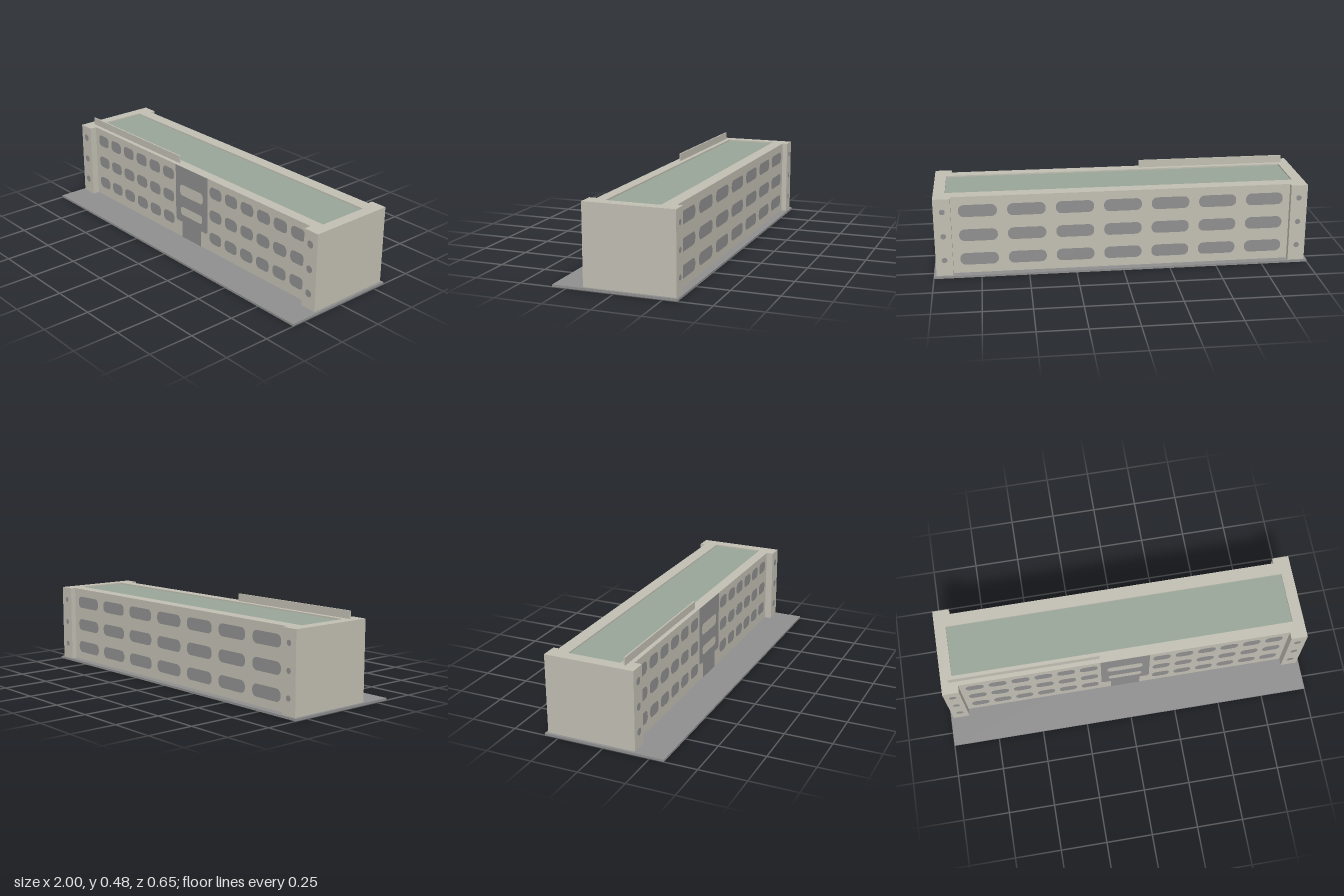
import * as THREE from 'three';

function material(name, color) {
  const m = new THREE.MeshStandardMaterial({ color });
  m.name = name;
  return m;
}

// Rounded rectangle outline, usable as a shape or as a hole
function roundedRect(path, cx, cy, w, h, r) {
  const x = w / 2 - r, y = h / 2 - r;
  path.absarc(cx + x, cy + y, r, 0, Math.PI / 2);
  path.absarc(cx - x, cy + y, r, Math.PI / 2, Math.PI);
  path.absarc(cx - x, cy - y, r, Math.PI, Math.PI * 1.5);
  path.absarc(cx + x, cy - y, r, Math.PI * 1.5, Math.PI * 2);
  path.closePath();
  return path;
}

export function createModel() {
  const model = new THREE.Group();
  const wall = material('warm stone', 0xc1beb2);
  const grey = material('grey', 0x8e8e8e);
  const green = material('roof green', 0x98a597);

  const add = (name, geometry, mat, x = 0, y = 0, z = 0, parent = model) => {
    const mesh = new THREE.Mesh(geometry, mat);
    mesh.name = name;
    mesh.position.set(x, y, z);
    parent.add(mesh);
    return mesh;
  };

  const baseTop = 0.012, roofTop = 0.435;
  const front = 0.128, back = -0.285;        // long walls
  const wingFront = 0.167, wingBack = -0.314; // end wings
  const inner = 0.897, outer = 0.986;
  const lift = 0.0015;

  // Ground slab
  add('baseSlab', new THREE.BoxGeometry(2, baseTop, 0.652), grey, 0, baseTop / 2, 0);

  // Main block with projecting end wings, open in the middle of the roof
  const plan = new THREE.Shape([
    [-outer, wingFront], [-inner, wingFront], [-inner, front],
    [inner, front], [inner, wingFront], [outer, wingFront],
    [outer, wingBack], [inner, wingBack], [inner, back],
    [-inner, back], [-inner, wingBack], [-outer, wingBack],
  ].map(([x, z]) => new THREE.Vector2(x, -z)));
  const roofZ = -0.073, roofW = 1.85, roofD = 0.284;
  plan.holes.push(new THREE.Path([
    [-1, -1], [1, -1], [1, 1], [-1, 1],
  ].map(([sx, sy]) => new THREE.Vector2(sx * roofW / 2, -roofZ + sy * roofD / 2))));
  const block = new THREE.ExtrudeGeometry(plan, { depth: roofTop - baseTop, bevelEnabled: false });
  block.rotateX(-Math.PI / 2);
  add('mainBlock', block, wall, 0, baseTop, 0);

  // Slightly sunken green roof
  add('greenRoof', new THREE.BoxGeometry(roofW, 0.01, roofD), green, 0, roofTop - 0.013, roofZ);

  // Low screen standing on the front of the roof
  add('roofScreen', new THREE.BoxGeometry(0.81, 0.042, 0.008), wall, -0.54, roofTop + 0.02, 0.1);

  // Windows and wing portholes
  const frontWindow = new THREE.ShapeGeometry(
    roundedRect(new THREE.Shape(), 0, 0, 0.096, 0.066, 0.026), 4);
  const backWindow = new THREE.ShapeGeometry(
    roundedRect(new THREE.Shape(), 0, 0, 0.2, 0.066, 0.03), 4);
  const frontPorthole = new THREE.CircleGeometry(0.02, 12);
  const backPorthole = new THREE.CircleGeometry(0.015, 12);
  const windows = new THREE.Group();
  windows.name = 'windows';
  model.add(windows);

  for (const y of [0.365, 0.231, 0.098]) {
    for (const side of [-1, 1]) {
      for (let i = 0; i < 6; i++) {
        add('frontWindow', frontWindow, grey, side * (0.2 + i * 0.1235), y, front + lift, windows);
      }
      add('frontPorthole', frontPorthole, grey, side * 0.94, y, wingFront + lift, windows);
      add('backPorthole', backPorthole, grey, side * 0.94, y, wingBack - lift, windows).rotation.y = Math.PI;
    }
    for (let i = -3; i <= 3; i++) {
      add('backWindow', backWindow, grey, i * 0.253, y - 0.008, back - lift, windows).rotation.y = Math.PI;
    }
  }

  // Central entrance panel with two openings and a door below
  const entrance = new THREE.Shape([
    [-0.083, baseTop], [0.08, baseTop], [0.08, 0.105], [0.122, 0.105], [0.133, 0.116],
    [0.133, roofTop], [-0.135, roofTop], [-0.135, 0.116], [-0.124, 0.105], [-0.083, 0.105],
  ].map(([x, y]) => new THREE.Vector2(x, y)));
  entrance.holes.push(roundedRect(new THREE.Path(), -0.002, 0.298, 0.194, 0.064, 0.022));
  entrance.holes.push(roundedRect(new THREE.Path(), -0.002, 0.173, 0.184, 0.05, 0.02));
  add('entrancePanel', new THREE.ShapeGeometry(entrance, 4), grey, 0, 0, front + lift);

  return model;
}
